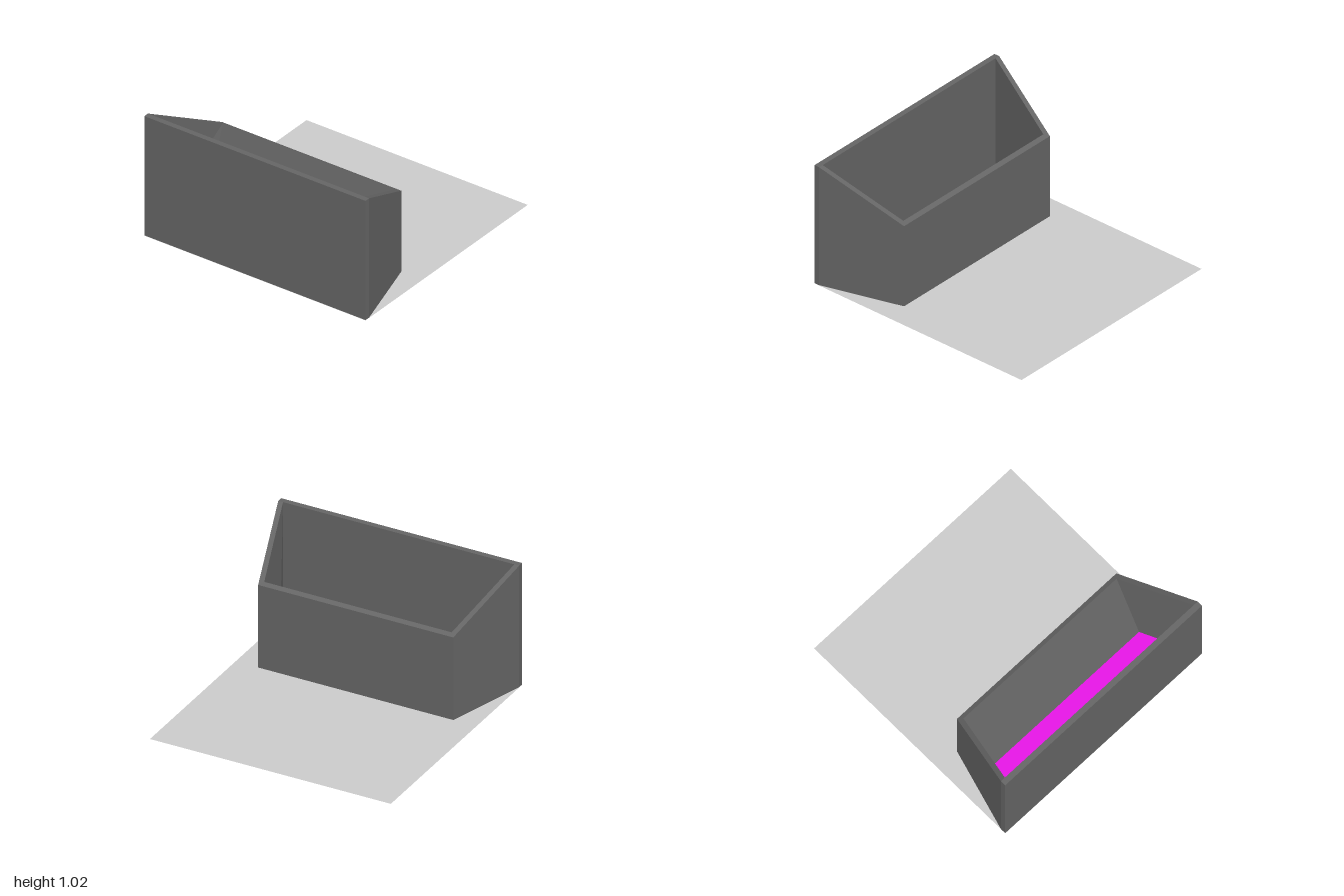
import * as THREE from 'three';

const shellGrey = new THREE.MeshStandardMaterial({ color: 0x656565 });
const baseGrey = new THREE.MeshStandardMaterial({ color: 0xcccccc, side: THREE.DoubleSide });
const magenta = new THREE.MeshStandardMaterial({ color: 0xe80ee8 });

// flat-shaded mesh from polygons, each fanned from its first corner
function polygonMesh(name, polygons, material) {
  const pos = [];
  for (const p of polygons)
    for (let i = 1; i < p.length - 1; i++) pos.push(...p[0], ...p[i], ...p[i + 1]);
  const g = new THREE.BufferGeometry();
  g.setAttribute('position', new THREE.Float32BufferAttribute(pos, 3));
  g.computeVertexNormals();
  const m = new THREE.Mesh(g, material);
  m.name = name;
  return m;
}

// quads joining two matching closed loops
function bridge(a, b) {
  return a.map((p, i) => {
    const j = (i + 1) % a.length;
    return [p, a[j], b[j], b[i]];
  });
}

// horizontal trapezoid between a front and a back edge
function trapezoid(y, frontX, frontZ, backX, backZ) {
  return [[-frontX, y, frontZ], [frontX, y, frontZ], [backX, y, backZ], [-backX, y, backZ]];
}

export function createModel() {
  const model = new THREE.Group();
  model.name = 'troughOnBase';

  // flat square base
  const base = new THREE.Mesh(new THREE.PlaneGeometry(2, 2).rotateX(-Math.PI / 2), baseGrey);
  base.name = 'basePlate';
  model.add(base);

  // mirrored six-point loops: front corner, shoulder, back corner
  const loop = (f, s, b) => {
    const flip = ([x, y, z]) => [-x, y, z];
    return [flip(f), f, s, b, flip(b), flip(s)];
  };
  const low = 0.003, high = 1.022, pit = 0.04;
  const outerBottom = loop([1, low, 1], [1, low, 0.955], [0.81, low, 0.3]);
  const outerTop = loop([1, high, 1], [1, high, 0.955], [0.81, 0.695, 0.3]);
  const innerTop = loop([0.96, high, 0.955], [0.96, high, 0.955], [0.778, 0.712, 0.335]);
  const innerBottom = loop([0.96, pit, 0.955], [0.96, pit, 0.955], [0.778, pit, 0.57]);

  model.add(
    polygonMesh('outerWalls', [...bridge(outerBottom, outerTop), [...outerBottom].reverse()], shellGrey),
    polygonMesh('slopedRim', bridge(outerTop, innerTop), shellGrey),
    polygonMesh('innerWalls', bridge(innerTop, innerBottom), shellGrey),
    // inner floor in two colours
    polygonMesh('innerFloorFront', [trapezoid(pit, 0.96, 0.955, 0.887, 0.8)], shellGrey),
    polygonMesh('innerFloorBack', [trapezoid(pit, 0.887, 0.8, 0.778, 0.57)], magenta)
  );
  return model;
}
